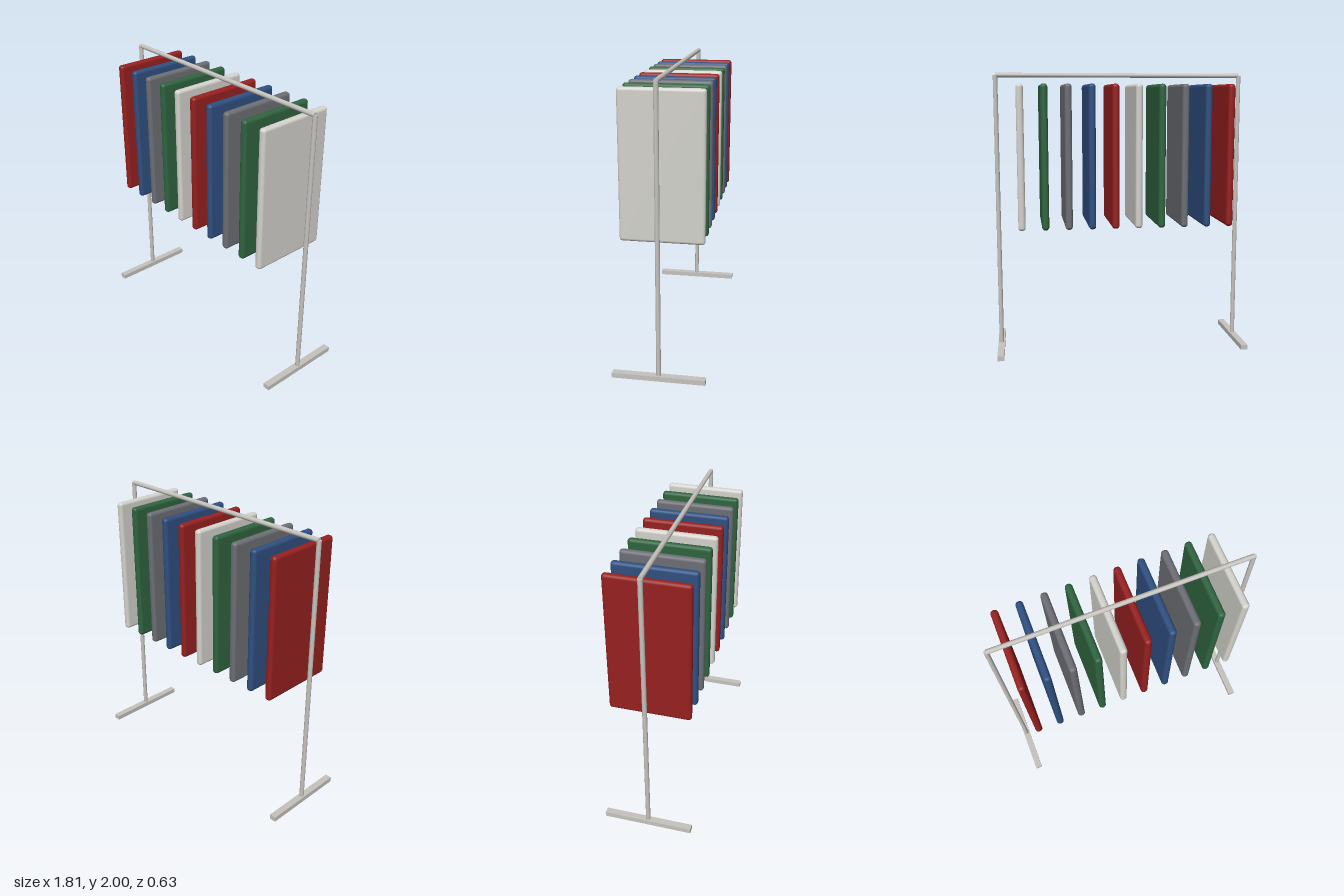
import * as THREE from 'three';
import { RoundedBoxGeometry } from 'three/addons/geometries/RoundedBoxGeometry.js';

const material = (name, color) => {
  const m = new THREE.MeshStandardMaterial({ color });
  m.name = name;
  return m;
};

export function createModel() {
  const group = new THREE.Group();
  group.name = 'clothesRack';

  const metal = material('grey metal', 0xc6c3be);
  const cloths = [
    material('red cloth', 0x96201f),
    material('blue cloth', 0x2f4f80),
    material('grey cloth', 0x6c6e74),
    material('green cloth', 0x2f6440),
    material('off-white cloth', 0xd3d2cc),
  ];

  const add = (name, geometry, mat, x, y, z = 0) => {
    const mesh = new THREE.Mesh(geometry, mat);
    mesh.name = name;
    mesh.position.set(x, y, z);
    group.add(mesh);
    return mesh;
  };

  // Frame: a foot and an upright at each end, joined by the top rail
  const footHeight = 0.035, railY = 1.984, halfSpan = 0.881, tube = 0.016;
  const postHeight = railY - footHeight;
  const footGeometry = new THREE.BoxGeometry(0.048, footHeight, 0.63);
  const postGeometry = new THREE.CylinderGeometry(tube, tube, postHeight, 16);
  for (const [side, sign] of [['left', 1], ['right', -1]]) {
    add(side + 'Foot', footGeometry, metal, sign * halfSpan, footHeight / 2);
    add(side + 'Post', postGeometry, metal, sign * halfSpan, footHeight + postHeight / 2);
  }
  const railGeometry = new THREE.CylinderGeometry(tube, tube, halfSpan * 2, 16);
  add('topRail', railGeometry, metal, 0, railY).rotation.z = Math.PI / 2;

  // Ten soft-edged garments in a repeating run of five colours
  const garmentGeometry = new RoundedBoxGeometry(0.05, 1.007, 0.565, 4, 0.022);
  for (let i = 0; i < 10; i++) {
    add('garment' + (i + 1), garmentGeometry, cloths[i % 5], -0.758 + i * 0.1637, 1.418);
  }
  return group;
}
